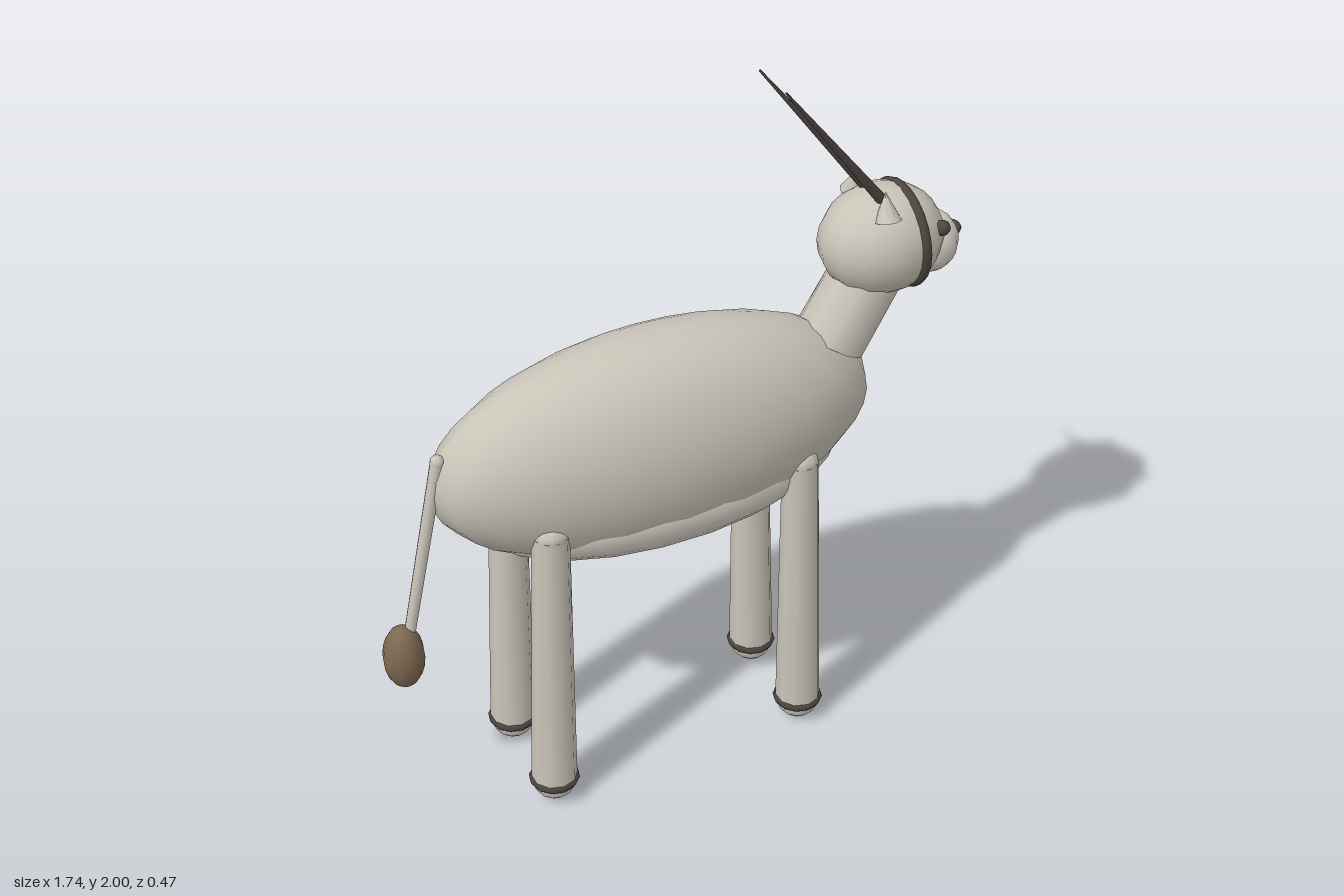
import * as THREE from 'three';

const material = (name, color) => {
  const m = new THREE.MeshStandardMaterial({ color });
  m.name = name;
  return m;
};

export function createModel() {
  const coat = material('pale coat', 0xc9c4b8);
  const pale = material('light underside', 0xd6d1c6);
  const dark = material('dark markings', 0x4c4540);
  const brown = material('brown tuft', 0x7d6850);
  const model = new THREE.Group();
  model.name = 'antelope';

  const add = (name, geometry, mat, parent = model) => {
    const mesh = new THREE.Mesh(geometry, mat);
    mesh.name = name;
    parent.add(mesh);
    return mesh;
  };

  const ellipsoid = (name, mat, [x, y, z], [rx, ry, rz], w = 14, h = 10, parent = model) => {
    const mesh = add(name, new THREE.SphereGeometry(1, w, h), mat, parent);
    mesh.position.set(x, y, z);
    mesh.scale.set(rx, ry, rz);
    return mesh;
  };

  // Tapered round limb between two points
  const limb = (name, mat, from, to, r0, r1, sides = 10, parent = model) => {
    const a = new THREE.Vector3(...from), b = new THREE.Vector3(...to);
    const dir = b.clone().sub(a);
    const mesh = add(name, new THREE.CylinderGeometry(r1, r0, dir.length(), sides), mat, parent);
    mesh.position.copy(a).add(b).multiplyScalar(0.5);
    mesh.quaternion.setFromUnitVectors(new THREE.Vector3(0, 1, 0), dir.normalize());
    return mesh;
  };

  // Torso, with the belly just breaking through its lower flanks
  ellipsoid('body', coat, [-0.06, 1.03, 0], [0.65, 0.32, 0.236], 20, 20);
  ellipsoid('belly', pale, [-0.04, 0.87, 0], [0.53, 0.16, 0.212], 18, 14);

  // Neck and head
  limb('neck', coat, [0.474, 1.176, 0], [0.61, 1.402, 0], 0.104, 0.1, 10);
  ellipsoid('head', coat, [0.622, 1.458, 0], [0.18, 0.155, 0.15], 14, 12);
  ellipsoid('muzzle', pale, [0.772, 1.41, 0], [0.085, 0.09, 0.085], 14, 12);
  ellipsoid('nose', dark, [0.852, 1.43, 0], [0.02, 0.018, 0.028], 10, 8);

  // Dark stripe around the face
  const stripe = add('faceStripe', new THREE.TorusGeometry(0.14, 0.016, 8, 24), dark);
  stripe.position.set(0.682, 1.458, 0);
  stripe.rotation.set(0, Math.PI / 2, 0.05, 'ZYX');
  stripe.scale.set(0.97, 1, 1.1);

  for (const s of [-1, 1]) {
    ellipsoid('eye', dark, [0.755, 1.5, s * 0.095], [0.022, 0.022, 0.022], 10, 8);
    limb('ear', coat, [0.585, 1.565, s * 0.092], [0.585, 1.64, s * 0.072], 0.038, 0.001, 8);
    limb('horn', dark, [0.605, 1.585, s * 0.044], [0.279, 2, s * 0.07], 0.016, 0.003, 8);
  }

  // Four legs, each with a rounded hip, ankle band and foot
  for (const [name, xTop, xFoot] of [['frontLeg', 0.313, 0.33], ['hindLeg', -0.433, -0.447]]) {
    for (const s of [-1, 1]) {
      const leg = new THREE.Group();
      leg.name = name;
      model.add(leg);
      const z = s * 0.145;
      limb('shank', coat, [xFoot, 0.07, z], [xTop, 0.91, z], 0.065, 0.051, 10, leg);
      ellipsoid('hip', coat, [xTop, 0.91, z], [0.051, 0.045, 0.051], 10, 8, leg);
      ellipsoid('foot', pale, [xFoot, 0.063, z], [0.063, 0.063, 0.063], 12, 10, leg);
      const band = add('ankleBand', new THREE.TorusGeometry(0.06, 0.012, 6, 12), dark, leg);
      band.rotation.x = Math.PI / 2;
      band.position.set(xFoot, 0.066, z);
    }
  }

  // Tail hanging from the rump with a tuft
  ellipsoid('tailRoot', coat, [-0.682, 1.13, 0], [0.02, 0.02, 0.02], 8, 8);
  limb('tail', coat, [-0.795, 0.58, 0], [-0.682, 1.13, 0], 0.016, 0.019, 8);
  ellipsoid('tailTuft', brown, [-0.812, 0.53, 0], [0.058, 0.1, 0.058], 12, 10);

  return model;
}
